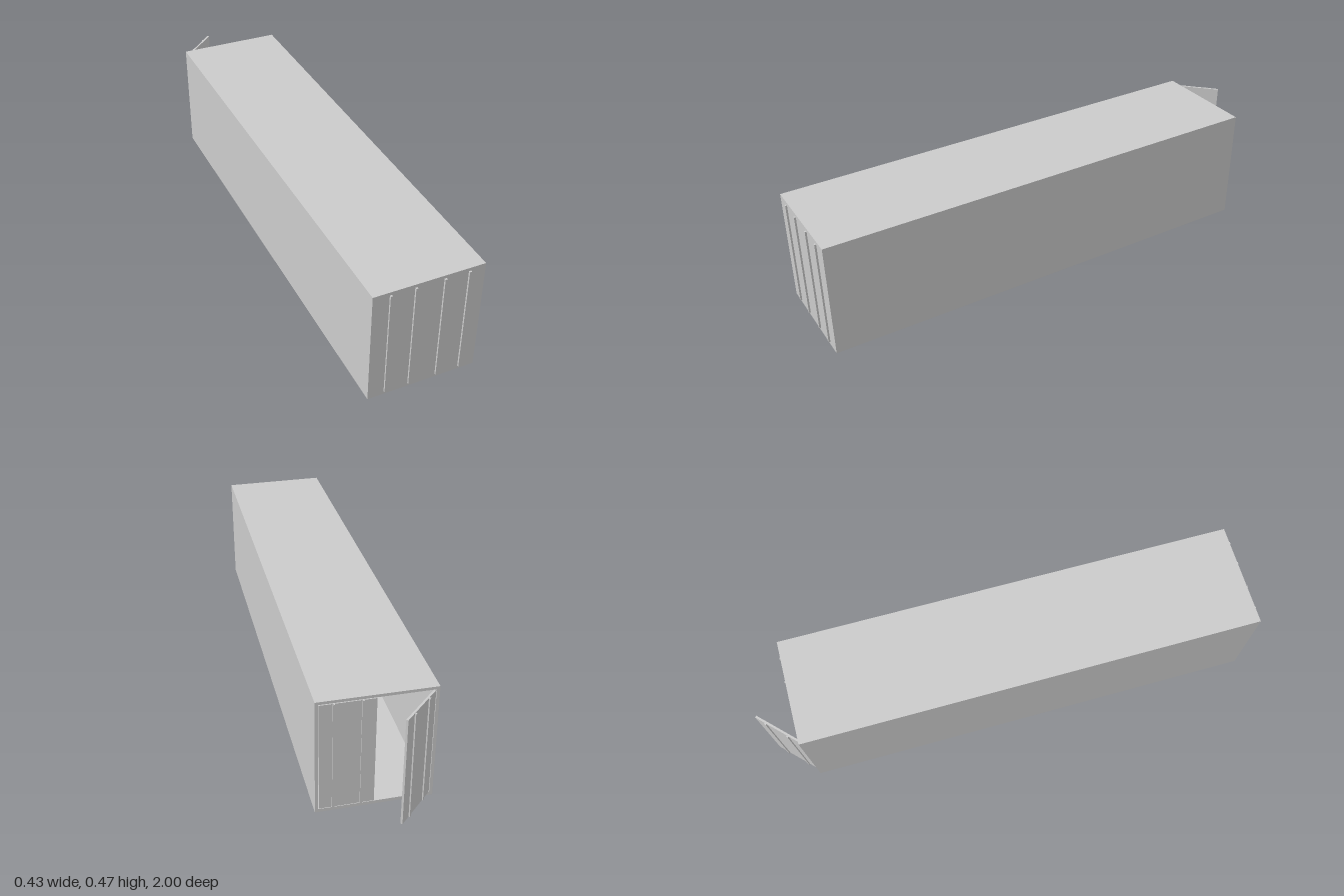
import * as THREE from 'three';

const material = new THREE.MeshStandardMaterial({ color: 0xcccccc, flatShading: true });

const FRONT = 0.993, BACK = -0.86;
const WIDTH = 0.428, HEIGHT = 0.467;
const DOOR_W = 0.198, DOOR_H = 0.438, DOOR_T = 0.008;
const BAR_H = 0.435, MID_Y = 0.234;

function box(name, w, h, d, x, y, z) {
  const mesh = new THREE.Mesh(new THREE.BoxGeometry(w, h, d), material);
  mesh.name = name;
  mesh.position.set(x, y, z);
  return mesh;
}

function rectangle(PathType, x, y0, y1) {
  return new PathType([[-x, y0], [x, y0], [x, y1], [-x, y1]].map(p => new THREE.Vector2(...p)));
}

// Hollow tube of walls, floor and roof, very slightly narrower at the front
function shell() {
  const shape = rectangle(THREE.Shape, WIDTH / 2, 0, HEIGHT);
  shape.holes.push(rectangle(THREE.Path, 0.202, 0.013, 0.456));
  const geometry = new THREE.ExtrudeGeometry(shape, { depth: FRONT - BACK, bevelEnabled: false });
  geometry.translate(0, 0, BACK);
  const p = geometry.attributes.position;
  for (let i = 0; i < p.count; i++) {
    const t = (p.getZ(i) - BACK) / (FRONT - BACK);
    p.setX(i, p.getX(i) * (1 - 0.014 * t));
    p.setY(i, MID_Y + (p.getY(i) - MID_Y) * (1 - 0.013 * t));
  }
  geometry.computeVertexNormals();
  const mesh = new THREE.Mesh(geometry, material);
  mesh.name = 'containerShell';
  return mesh;
}

// Rear door leaf with two locking bars, pivoting on its hinge edge
function door(name, side, angle) {
  const group = new THREE.Group();
  group.name = name;
  group.add(box('doorPanel', DOOR_W, DOOR_H, DOOR_T, -side * DOOR_W / 2, MID_Y, DOOR_T / 2));
  for (const x of [0.05, 0.15]) {
    group.add(box('lockingBar', 0.008, BAR_H, 0.006, -side * x, MID_Y, -0.002));
  }
  group.position.set(side * 0.2, 0, BACK);
  group.rotation.y = angle;
  return group;
}

export function createModel() {
  const model = new THREE.Group();
  model.name = 'cargoContainer';
  model.add(shell());

  // Closed front end with four upright bars
  model.add(box('frontWall', 0.41, 0.45, 0.01, 0, MID_Y, FRONT - 0.005));
  for (const x of [-0.145, -0.052, 0.057, 0.15]) {
    model.add(box('frontBar', 0.008, BAR_H, 0.01, x, MID_Y, 0.995));
  }

  // Rear doors: one shut, one swung open
  model.add(door('closedDoor', 1, 0));
  model.add(door('openDoor', -1, Math.PI / 4));
  return model;
}
